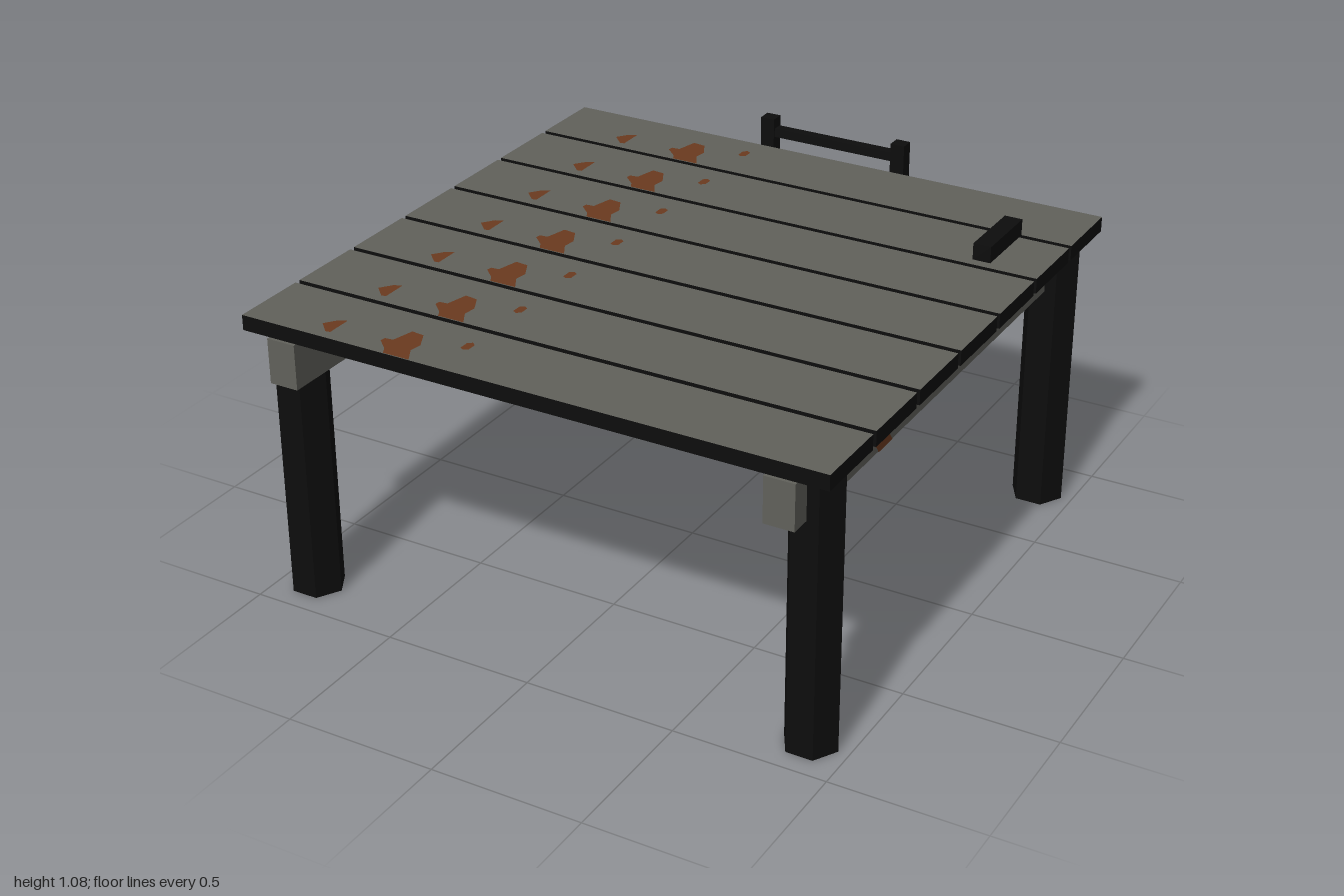
import * as THREE from 'three';

const material = (name, color) => {
  const m = new THREE.MeshStandardMaterial({ color });
  m.name = name;
  return m;
};

export function createModel() {
  const root = new THREE.Group();
  root.name = 'platform';
  const grey = material('weatheredGrey', 0x61615b);
  const rust = material('rustBrown', 0x6b3a1f);
  const black = material('black', 0x0d0d0d);

  const add = (name, geometry, mat, x, y, z, parent = root) => {
    const mesh = new THREE.Mesh(geometry, mat);
    mesh.name = name;
    mesh.position.set(x, y, z);
    parent.add(mesh);
    return mesh;
  };
  const box = (name, mat, w, h, d, x, y, z, parent) =>
    add(name, new THREE.BoxGeometry(w, h, d), mat, x, y, z, parent);

  // Rust patch outlines as fractions of a face's length and height
  const patches = [
    [[0.125, 0.27], [0.145, 0.12], [0.153, 0.13], [0.153, 0.46], [0.14, 0.42]],
    [[0.235, 0.24], [0.255, 0.1], [0.262, 0], [0.308, 0], [0.293, 0.2],
      [0.296, 0.36], [0.281, 0.58], [0.259, 0.6], [0.25, 0.32], [0.236, 0.31]],
    [[0.352, 0.53], [0.359, 0.5], [0.366, 0.54], [0.366, 0.66], [0.359, 0.7], [0.352, 0.66]],
  ];
  const rustGeometry = (length, height, stretch = 1) => new THREE.ShapeGeometry(
    patches.map((p) => new THREE.Shape(p.map(([u, v]) =>
      new THREE.Vector2(u * length, Math.min(v * stretch, 1) * height)))));

  // Deck planks: grey top face, black edges and underside
  const plankRust = rustGeometry(1.96, 0.26);
  for (let i = 0; i < 7; i++) {
    const z = -0.82 + i * 0.28;
    box('plank', [black, black, grey, black, black, black], 1.96, 0.05, 0.26, 0, 0.955, z);
    add('plankRust', plankRust, rust, -0.98, 0.982, z + 0.13).rotation.x = -Math.PI / 2;
  }

  // Support beams with rust on both sides, the top and the underside
  const beamRust = rustGeometry(1.96, 0.15, 1.37);
  for (const s of [-1, 1]) {
    const x = s * 0.834;
    box('beam', grey, 0.098, 0.149, 1.96, x, 0.855, 0.02);
    add('beamRust', beamRust, rust, x + 0.051, 0.78, 1).rotation.y = Math.PI / 2;
    add('beamRust', beamRust, rust, x - 0.051, 0.78, -0.96).rotation.y = -Math.PI / 2;
    box('beamTopRust', rust, 0.09, 0.002, 1.5, x, 0.9295, 0.02);
    box('beamUndersideRust', rust, 0.09, 0.002, 1.2, x, 0.7795, 0);
  }

  // Six-sided legs
  const legGeometry = new THREE.CylinderGeometry(0.0875, 0.0875, 0.97, 6, 1, false, Math.PI / 2)
    .toNonIndexed();
  legGeometry.computeVertexNormals();
  for (const x of [-0.877, 0.877]) {
    for (const z of [-0.81, 0.855]) add('leg', legGeometry, black, x, 0.485, z);
  }

  // Ladder at the back
  const ladder = new THREE.Group();
  ladder.name = 'ladder';
  root.add(ladder);
  for (const x of [-0.245, 0.245]) box('ladderRail', black, 0.05, 0.98, 0.047, x, 0.59, -0.976, ladder);
  for (const y of [0.44, 0.735, 1.03]) box('ladderRung', black, 0.46, 0.03, 0.036, 0, y, -0.977, ladder);

  // Small block on the deck
  box('deckBlock', black, 0.06, 0.055, 0.245, 0.78, 1.0075, -0.567);

  return root;
}
